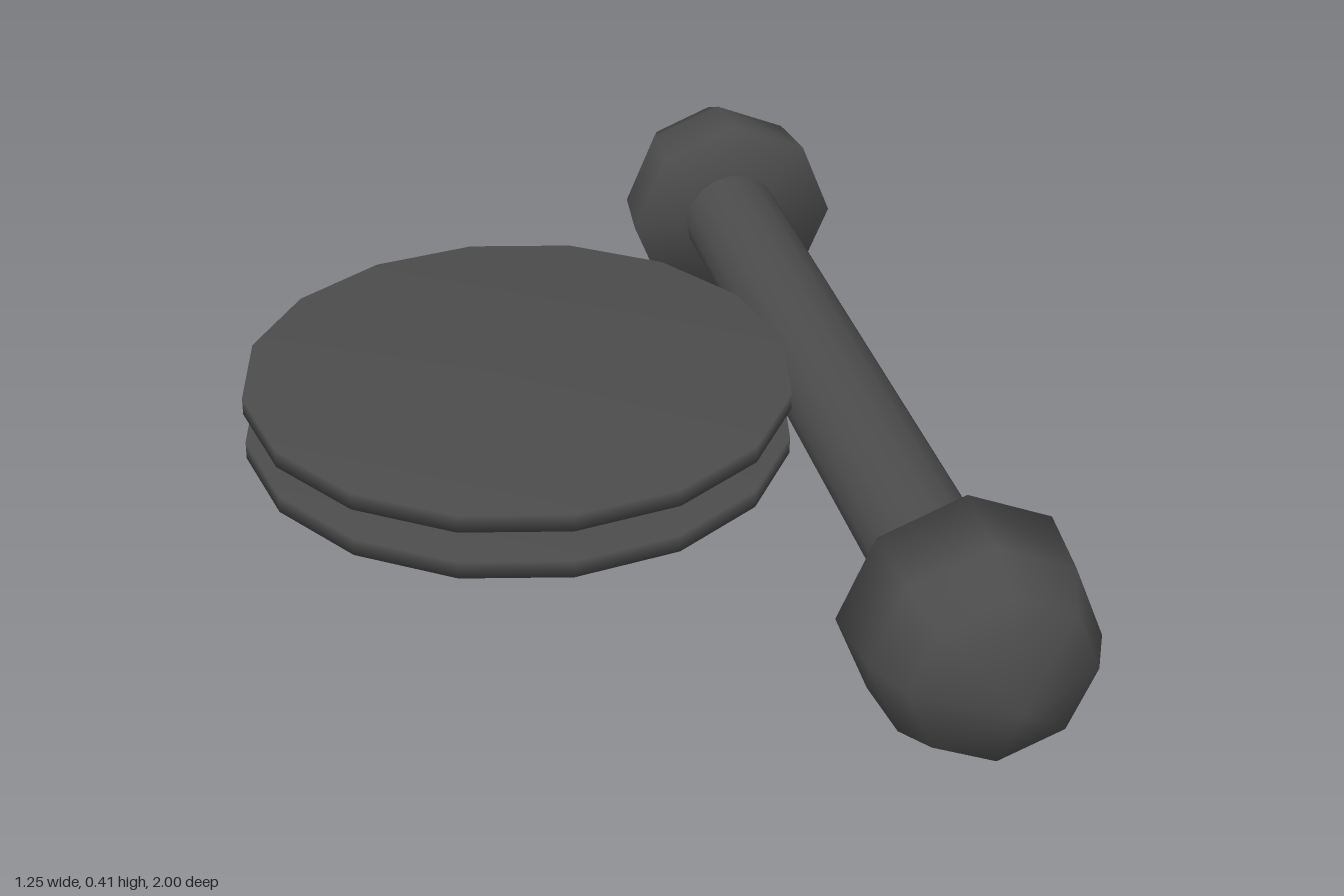
import * as THREE from 'three';
import { mergeVertices } from 'three/addons/utils/BufferGeometryUtils.js';

const material = new THREE.MeshStandardMaterial({ color: 0x4c4c4c });

// Weld a geometry so that shading runs smoothly over its edges
function weld(geometry) {
  geometry.deleteAttribute('normal');
  geometry.deleteAttribute('uv');
  const welded = mergeVertices(geometry);
  welded.computeVertexNormals();
  return welded;
}

function addMesh(parent, name, geometry, x, y, z) {
  const mesh = new THREE.Mesh(geometry, material);
  mesh.name = name;
  mesh.position.set(x, y, z);
  parent.add(mesh);
  return mesh;
}

export function createModel() {
  const model = new THREE.Group();
  model.name = 'barAndSpool';

  // Bar along z with a domed eight-sided knob at each end
  const bar = new THREE.Group();
  bar.name = 'bar';
  bar.position.set(0.423, 0.203, 0);
  model.add(bar);

  const rod = addMesh(bar, 'rod', new THREE.CylinderGeometry(0.095, 0.095, 1.42, 16), 0, 0, 0);
  rod.rotation.x = Math.PI / 2;

  const profile = [[0, 0], [0.203, 0], [0.19, 0.13], [0.153, 0.212], [0, 0.3]]
    .map(([r, h]) => new THREE.Vector2(r, h));
  const knobGeometry = weld(new THREE.LatheGeometry(profile, 8));
  for (const side of [1, -1]) {
    const knob = addMesh(bar, side > 0 ? 'frontKnob' : 'backKnob', knobGeometry, 0, 0, 0.7 * side);
    knob.rotation.x = side * Math.PI / 2;
  }

  // Two sixteen-sided plates on a narrower hub
  const spool = new THREE.Group();
  spool.name = 'spool';
  spool.position.set(-0.14, 0.212, -0.065);
  model.add(spool);

  const plateGeometry = weld(new THREE.CylinderGeometry(0.489, 0.489, 0.032, 16));
  addMesh(spool, 'upperPlate', plateGeometry, 0, 0.045, 0);
  addMesh(spool, 'lowerPlate', plateGeometry, 0, -0.045, 0);
  addMesh(spool, 'hub', new THREE.CylinderGeometry(0.375, 0.375, 0.06, 16), 0, 0, 0);

  return model;
}
